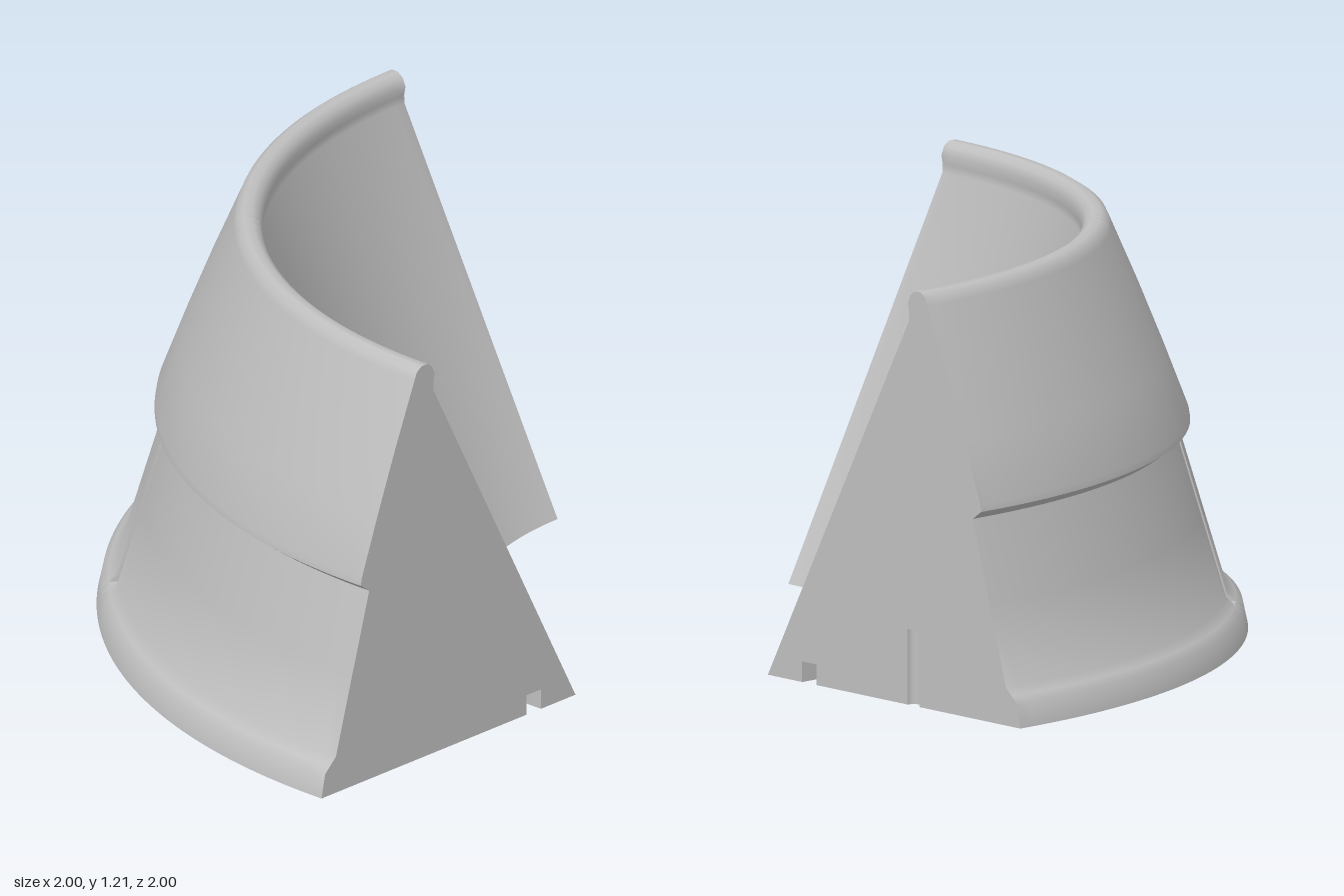
import * as THREE from 'three';
import { toCreasedNormals } from 'three/addons/utils/BufferGeometryUtils.js';

const v = ([r, y]) => new THREE.Vector2(r, y);
const Q = Math.PI / 2;
const PIN_R = 1.55, PIN_RADIUS = 0.025, PIN_H = 0.22;

// Cross-section as radius and height, running up the outside and down the inside
const foot = [[2, 0], [1.985, 0.07]];
const plainWall = [[1.965, 0.088], [1.94, 0.11], [1.87, 0.345], [1.8, 0.58]];
const groovedWall = [[1.965, 0.088], [1.91, 0.088], [1.77, 0.59], [1.8, 0.585]];
const upper = [
  [1.835, 0.605], [1.832, 0.625], [1.765, 0.8], [1.69, 0.985], [1.61, 1.17],
  [1.6, 1.192], [1.58, 1.205], [1.555, 1.205], [1.537, 1.192], [1.526, 1.167],
  [1.531, 1.14], [1.53, 1.115], [0.935, 0],
];
const channel = [[1.08, 0], [1.08, 0.06], [1.14, 0.06], [1.14, 0]];
const profile = (wall) => [...foot, ...wall, ...upper, ...channel];

export function createModel() {
  const model = new THREE.Group();
  const grey = new THREE.MeshStandardMaterial({ color: 0xc0c0c0, side: THREE.DoubleSide });
  grey.name = 'light grey';

  const ring = new THREE.Group();
  ring.name = 'quarterRing';
  ring.position.set(1, 0, -1);
  model.add(ring);

  const add = (geometry, name) => {
    const mesh = new THREE.Mesh(geometry, grey);
    mesh.name = name;
    ring.add(mesh);
    return mesh;
  };

  // Swept part of the ring between two angles
  const sweep = (points, from, to, segments, name) =>
    add(toCreasedNormals(new THREE.LatheGeometry(points.map(v), segments, from, to - from), 0.7), name);

  // Flat cross-section at an angle
  const cap = (points, angle, flip, name) => {
    const geometry = new THREE.ShapeGeometry(new THREE.Shape(points.map(v)));
    if (flip) {
      geometry.index.array.reverse();
      geometry.computeVertexNormals();
    }
    geometry.rotateY(angle - Q);
    add(geometry, name);
  };

  // Body, split by the narrow groove in the outer wall
  const plain = profile(plainWall);
  const a = -Q / 2 - 0.0133, b = -Q / 2 + 0.0133;
  sweep(plain, -Q, a, 32, 'rightBody');
  sweep(profile(groovedWall), a, b, 1, 'grooveFloor');
  sweep(plain, b, 0, 32, 'leftBody');
  cap(plain, a, true, 'grooveSide');
  cap(plain, b, false, 'grooveSide');

  // End faces; the back one is cut by a half-round pin slot
  const slot = [
    [PIN_R - PIN_RADIUS, 0], [PIN_R - PIN_RADIUS, PIN_H],
    [PIN_R + PIN_RADIUS, PIN_H], [PIN_R + PIN_RADIUS, 0],
  ];
  cap(plain, 0, true, 'leftEndFace');
  cap([...plain, ...slot], -Q, false, 'backEndFace');

  // Underside with the slot and the round pin hole cut out
  const holeX = -PIN_R * Math.sin(Math.PI / 6), holeZ = PIN_R * Math.cos(Math.PI / 6);
  const under = new THREE.Shape();
  under.absarc(0, 0, 2, Q, Math.PI, false);
  under.lineTo(-PIN_R - PIN_RADIUS, 0);
  under.absarc(-PIN_R, 0, PIN_RADIUS, Math.PI, 0, true);
  under.lineTo(-1.14, 0);
  under.absarc(0, 0, 1.14, Math.PI, Q, true);
  const hole = new THREE.Path();
  hole.absarc(holeX, holeZ, 0.02, 0, Math.PI * 2, true);
  under.holes.push(hole);
  add(new THREE.ShapeGeometry(under, 64).rotateX(Q), 'underside');

  // Pin recess walls and their closed upper ends
  const recess = (x, z, radius, start, length, name) => {
    const wall = new THREE.CylinderGeometry(radius, radius, PIN_H, 16, 1, true, start, length);
    add(wall, name + 'Wall').position.set(x, PIN_H / 2, z);
    const end = new THREE.CircleGeometry(radius, 16, 0, length).rotateX(Q);
    add(end, name + 'End').position.set(x, PIN_H, z);
  };
  recess(-PIN_R, 0, PIN_RADIUS, -Q, Math.PI, 'pinSlot');
  recess(holeX, holeZ, 0.02, 0, Math.PI * 2, 'pinHole');

  return model;
}
